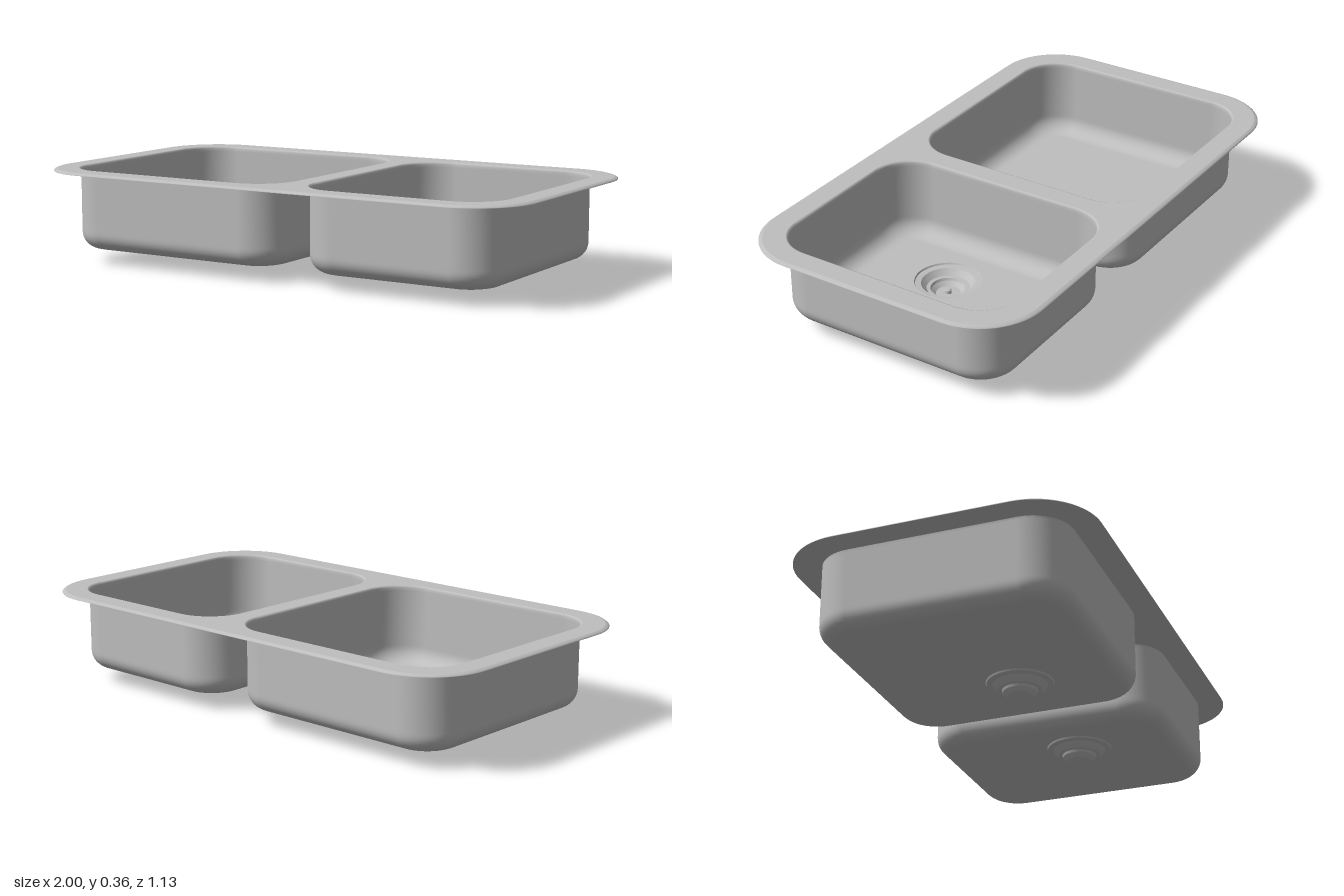
import * as THREE from 'three';

const steel = new THREE.MeshStandardMaterial({ color: 0xbebebe, side: THREE.DoubleSide });
steel.name = 'brushed steel';

const TOP = 0.362, UNDER = 0.353, FLOOR = 0.053, FILLET = 0.065;
const DRAIN_Z = 0.085, DRAIN_R = 0.125;

// Rounded rectangle outline as [x, z] points, shrunk by inset
function outline({ cx, w, d, r }, inset = 0, steps = 14) {
  const rad = r - inset, hx = w / 2 - r, hz = d / 2 - r;
  const pts = [];
  [[1, 1], [-1, 1], [-1, -1], [1, -1]].forEach(([sx, sz], q) => {
    for (let i = 0; i <= steps; i++) {
      const a = (q + i / steps) * Math.PI / 2;
      pts.push(new THREE.Vector2(cx + sx * hx + rad * Math.cos(a), sz * hz + rad * Math.sin(a)));
    }
  });
  return pts;
}

// Smooth skin through the outline at each [inset, y] of a profile
function loft(rect, profile) {
  const pos = [], index = [];
  const n = outline(rect).length;
  profile.forEach(([inset, y], k) => {
    outline(rect, inset).forEach((p) => pos.push(p.x, y, p.y));
    if (k === 0) return;
    for (let i = 0; i < n; i++) {
      const j = (i + 1) % n, a = (k - 1) * n, b = k * n;
      index.push(a + i, a + j, b + i, a + j, b + j, b + i);
    }
  });
  const g = new THREE.BufferGeometry();
  g.setAttribute('position', new THREE.Float32BufferAttribute(pos, 3));
  g.setIndex(index);
  g.computeVertexNormals();
  return g;
}

// Flat horizontal sheet with holes, facing up or down
function sheet(points, holes, y, up = true) {
  const shape = new THREE.Shape(points);
  shape.holes = holes.map((h) => new THREE.Path(h));
  const g = new THREE.ShapeGeometry(shape);
  g.rotateX(Math.PI / 2); // shape y becomes z, facing down
  if (up) {
    const idx = g.index.array;
    for (let i = 0; i < idx.length; i += 3) [idx[i], idx[i + 1]] = [idx[i + 1], idx[i]];
    g.computeVertexNormals();
  }
  return g.translate(0, y, 0);
}

function add(parent, name, geometry) {
  const m = new THREE.Mesh(geometry, steel);
  m.name = name;
  parent.add(m);
  return m;
}

function circle(cx, cz, r, n = 48) {
  return Array.from({ length: n }, (_, i) => {
    const a = (i / n) * Math.PI * 2;
    return new THREE.Vector2(cx + r * Math.cos(a), cz + r * Math.sin(a));
  });
}

// Surface of revolution made of separate bands, so each step stays crisp
function steppedLathe(parent, name, profile) {
  for (let i = 1; i < profile.length; i++) {
    const band = [profile[i - 1], profile[i]].map(([r, y]) => new THREE.Vector2(r, y));
    add(parent, name, new THREE.LatheGeometry(band, 48));
  }
}

function makeBasin(name, rect, drainX) {
  const g = new THREE.Group();
  g.name = name;

  // Walls: rolled lip, straight side, rounded foot
  const profile = [[-0.008, TOP], [-0.003, TOP - 0.002], [0, TOP - 0.008], [0, TOP - 0.02], [0, FLOOR + FILLET + 0.01]];
  for (let i = 0; i <= 10; i++) {
    const a = (i / 10) * Math.PI / 2;
    profile.push([FILLET * (1 - Math.cos(a)), FLOOR + FILLET * (1 - Math.sin(a))]);
  }
  profile.push([FILLET + 0.01, FLOOR]);
  add(g, 'basinWall', loft(rect, profile));

  // Floor with an opening for the drain
  add(g, 'basinFloor', sheet(outline(rect, FILLET + 0.01), [circle(drainX, DRAIN_Z, DRAIN_R)], FLOOR));

  // Drain: flange, stepped cup and centre knob
  const drain = new THREE.Group();
  drain.name = 'drain';
  drain.position.set(drainX, 0, DRAIN_Z);
  steppedLathe(drain, 'drainCup', [
    [DRAIN_R, FLOOR], [DRAIN_R - 0.003, 0.047], [0.1, 0.045], [0.092, 0.036],
    [0.08, 0.024], [0.066, 0.023], [0.062, 0.014], [0.046, 0], [0, 0],
  ]);
  steppedLathe(drain, 'drainKnob', [[0.012, 0], [0.012, 0.012], [0.008, 0.016], [0, 0.016]]);
  g.add(drain);
  return g;
}

export function createModel() {
  const model = new THREE.Group();
  model.name = 'doubleSink';

  const rim = { cx: 0, w: 2, d: 1.13, r: 0.24 };
  const large = { cx: -0.43, w: 0.94, d: 0.93, r: 0.15 };
  const small = { cx: 0.517, w: 0.766, d: 0.93, r: 0.15 };
  const basins = [large, small];

  // Rim: top sheet, bevelled edge and underside
  add(model, 'rimTop', sheet(outline(rim, 0.014), basins.map((b) => outline(b, -0.008)), TOP));
  add(model, 'rimEdge', loft(rim, [[0, UNDER], [0, UNDER + 0.002], [0.005, TOP - 0.003], [0.014, TOP]]));
  add(model, 'rimUnderside', sheet(outline(rim), basins.map((b) => outline(b)), UNDER, false));

  model.add(makeBasin('largeBasin', large, -0.27));
  model.add(makeBasin('smallBasin', small, 0.375));
  return model;
}
